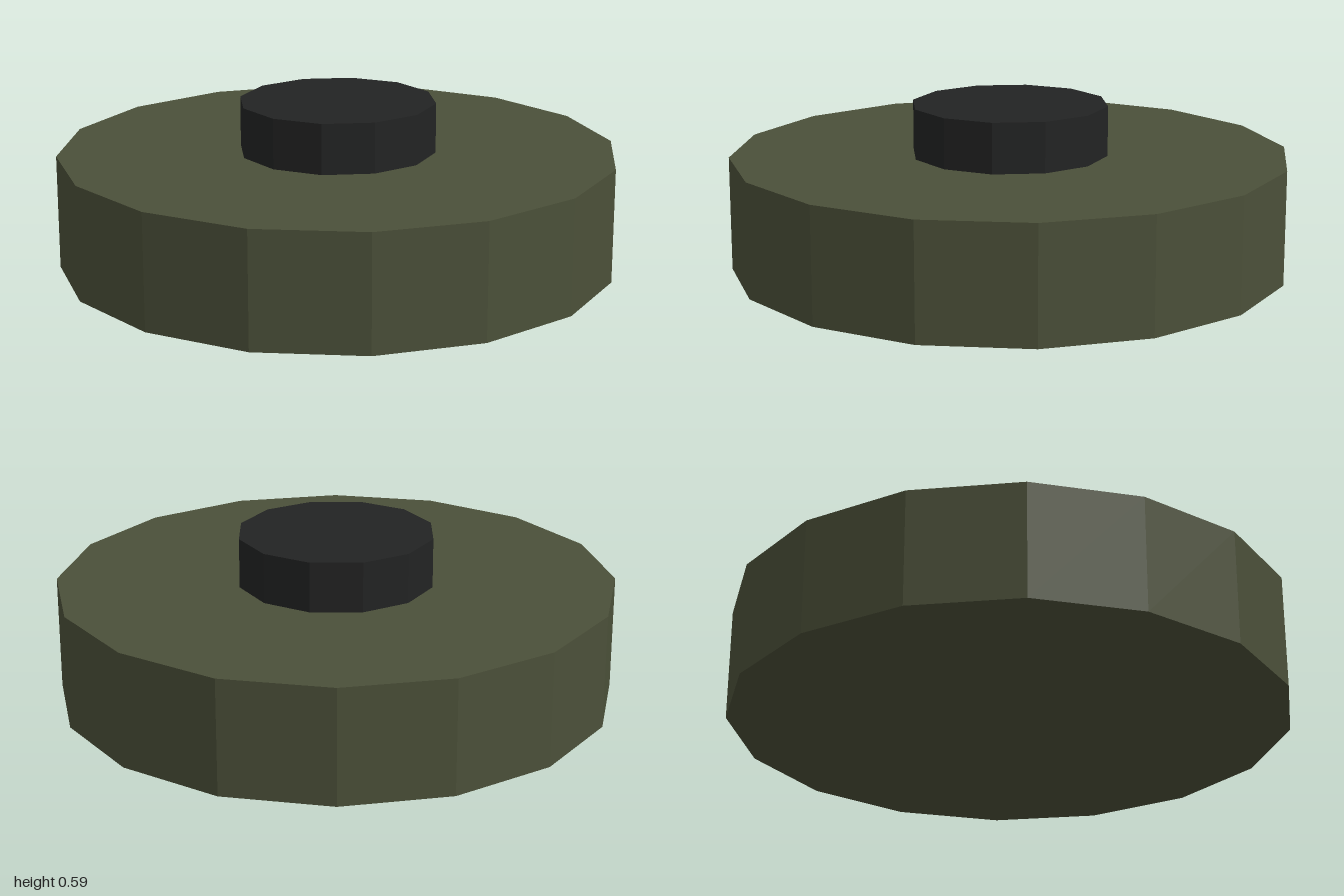
import * as THREE from 'three';

// Upright faceted disc spanning bottom..top
function disc(name, radius, bottom, top, sides, color) {
  const geometry = new THREE.CylinderGeometry(radius, radius, top - bottom, sides);
  const material = new THREE.MeshStandardMaterial({ color, flatShading: true });
  const mesh = new THREE.Mesh(geometry, material);
  mesh.name = name;
  mesh.position.y = (bottom + top) / 2;
  return mesh;
}

export function createModel() {
  const group = new THREE.Group();
  group.name = 'discWithButton';

  // Wide olive body
  group.add(disc('body', 1, 0, 0.41, 16, 0x4b5039));

  // Dark button, seated slightly into the body
  group.add(disc('button', 0.353, 0.35, 0.59, 12, 0x222323));

  return group;
}
